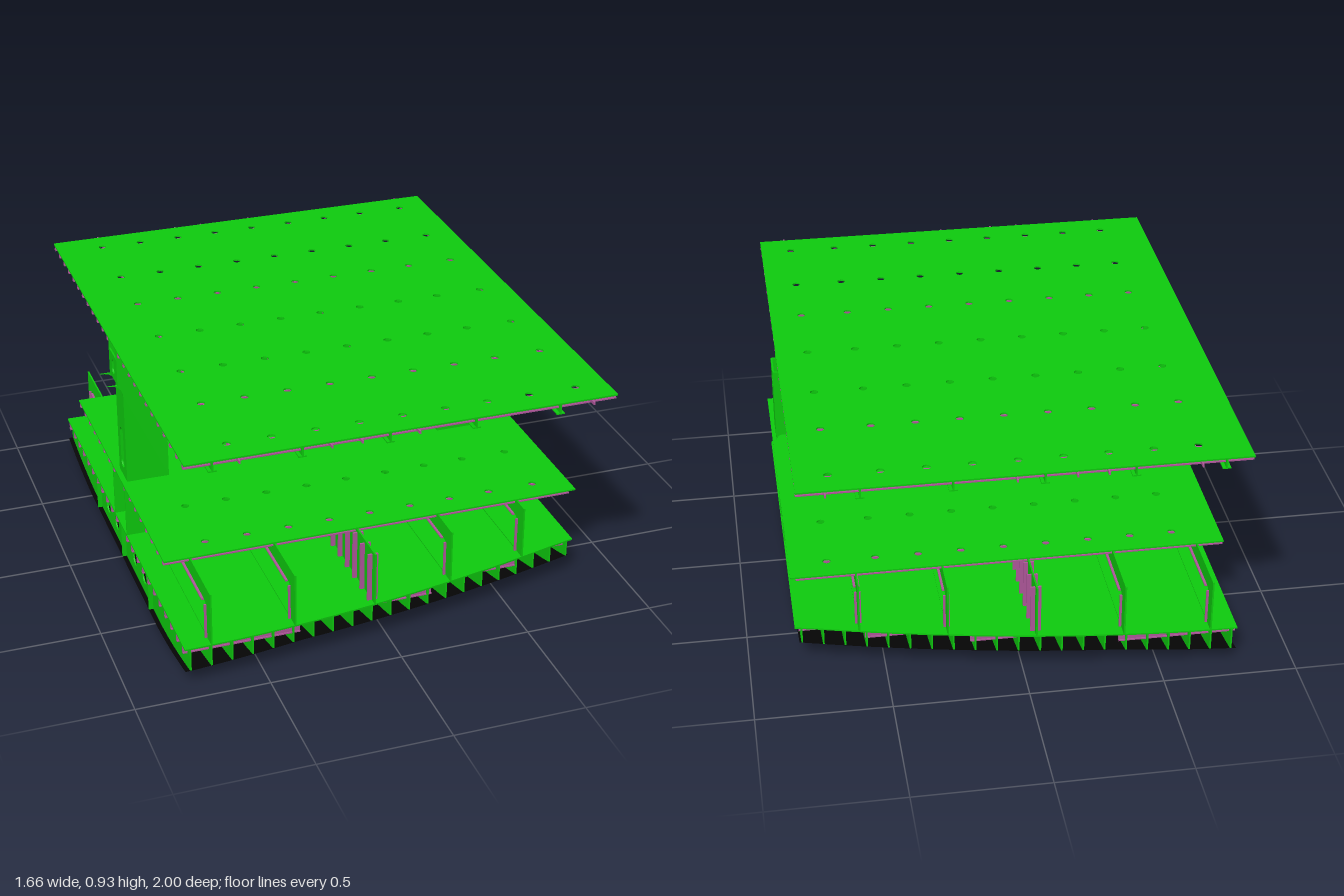
import * as THREE from 'three';

const mat = (color) => new THREE.MeshStandardMaterial({ color, side: THREE.DoubleSide });
const GREEN = mat(0x0ecc0e), PURPLE = mat(0xb0589c), BLACK = mat(0x060606), CYAN = mat(0x20c8e8);
const X0 = -0.79, X1 = 0.81, T = 0.006;
const FRAMES = [-0.69, -0.37, -0.05, 0.27, 0.59];
const BULKHEAD = -0.05;

// Hull rules: half breadth, and height of the shell at a given x and z
const tAt = (x) => THREE.MathUtils.clamp((x - X0) / (X1 - X0), 0, 1);
const halfBreadth = (x) => 0.915 - 0.245 * Math.pow(tAt(x), 1.8);
const shellEdge = (x) => 0.055 + 0.025 * Math.min(1, tAt(x) / 0.28);
function shellY(x, z) {
  const flat = 0.5 - 0.25 * tAt(x);
  const s = Math.max(0, (Math.abs(z) - flat) / (halfBreadth(x) - flat));
  return shellEdge(x) * Math.pow(s, 1.6);
}
const TANK = 0.15, DECK2 = 0.365, DECK1 = 0.932, DECK2_HALF = 0.66;

// Shape helpers
const poly = (pts) => new THREE.Shape(pts.map((p) => new THREE.Vector2(p[0], p[1])));
const rect = (a, b, c, d) => poly([[a, b], [c, b], [c, d], [a, d]]);
function circle(x, y, r) {
  const p = new THREE.Path();
  p.absarc(x, y, r, 0, Math.PI * 2, true);
  return p;
}
function rounded(a, b, c, d, r) {
  const p = new THREE.Path();
  p.absarc(c - r, b + r, r, -Math.PI / 2, 0, false);
  p.absarc(c - r, d - r, r, 0, Math.PI / 2, false);
  p.absarc(a + r, d - r, r, Math.PI / 2, Math.PI, false);
  p.absarc(a + r, b + r, r, Math.PI, Math.PI * 1.5, false);
  p.closePath();
  return p;
}
const extrude = (shape, depth) =>
  new THREE.ExtrudeGeometry(shape, { depth, bevelEnabled: false, curveSegments: 6 });

export function createModel() {
  const model = new THREE.Group();
  const add = (name, geo, material) => {
    const m = new THREE.Mesh(geo, material);
    m.name = name;
    model.add(m);
    return m;
  };
  const box = (name, material, x0, x1, y0, y1, z0, z1) => {
    const g = new THREE.BoxGeometry(x1 - x0, y1 - y0, z1 - z0);
    g.translate((x0 + x1) / 2, (y0 + y1) / 2, (z0 + z1) / 2);
    return add(name, g, material);
  };
  // Plates: horizontal (x, z), transverse (z, y) and lengthwise (x, y)
  const deckPlate = (name, shape, y) =>
    add(name, extrude(shape, T).rotateX(Math.PI / 2).translate(0, y, 0), GREEN);
  const crossPlate = (name, shape, x) =>
    add(name, extrude(shape, T).rotateY(-Math.PI / 2).translate(x + T / 2, 0, 0), GREEN);
  const longPlate = (name, shape, z) =>
    add(name, extrude(shape, T).translate(0, 0, z - T / 2), GREEN);

  // Outer shell
  const NX = 32, NZ = 48, pos = [], idx = [];
  for (let i = 0; i <= NX; i++) {
    const x = X0 + (X1 - X0) * i / NX;
    for (let j = 0; j <= NZ; j++) {
      const z = halfBreadth(x) * (2 * j / NZ - 1);
      pos.push(x, shellY(x, z), z);
      if (i < NX && j < NZ) {
        const a = i * (NZ + 1) + j, b = a + NZ + 1;
        idx.push(a, b, a + 1, b, b + 1, a + 1);
      }
    }
  }
  const shell = new THREE.BufferGeometry();
  shell.setAttribute('position', new THREE.Float32BufferAttribute(pos, 3));
  shell.setIndex(idx);
  shell.computeVertexNormals();
  add('bottomShell', shell, BLACK);

  // Tank top follows the hull outline
  const side = [];
  for (let i = 0; i <= 20; i++) {
    const x = X0 + (X1 + 0.015 - X0) * i / 20;
    side.push([x, halfBreadth(x)]);
  }
  deckPlate('tankTop', poly([...side, ...side.map(([x, z]) => [x, -z]).reverse()]), TANK);

  // Upper and lower decks with rows of holes
  const columns = [-0.61, -0.45, -0.29, -0.13, 0.03, 0.19, 0.35, 0.51, 0.69];
  const rows = [-0.88, -0.57, -0.305, 0.305, 0.57, 0.88];
  const upper = rect(X0, -0.98, X1, 0.98), lower = rect(X0, -DECK2_HALF, 0.83, DECK2_HALF);
  for (const x of columns) {
    for (const z of rows) {
      upper.holes.push(circle(x, z, 0.015));
      if (Math.abs(z) < 0.6) lower.holes.push(circle(x, z, 0.015));
    }
    upper.holes.push(circle(x, 0, 0.015));
  }
  deckPlate('upperDeck', upper, DECK1);
  deckPlate('lowerDeck', lower, DECK2);

  // Lengthwise stiffeners under the decks and tank top, and on the shell
  for (let k = 0; k < 12; k++) {
    for (const s of [-1, 1]) {
      const z = s * (0.08 + k * 0.08);
      const bar = (name, y0, y1, end) => {
        box(name, PURPLE, X0, end, y0, y1, z - 0.003, z + 0.003);
        box(name + 'Bulb', PURPLE, X0, end, y0, y0 + 0.005, z - 0.008, z + 0.008);
      };
      bar('upperDeckStiffener', 0.909, DECK1 - T, X1);
      if (Math.abs(z) < DECK2_HALF) bar('lowerDeckStiffener', 0.342, DECK2 - T, X1);
      let end = X1;
      while (end > X0 && halfBreadth(end) < Math.abs(z) + 0.01) end -= 0.02;
      if (end > X0 + 0.1) bar('tankTopStiffener', 0.115, TANK - T, end);
    }
  }

  // Floors between shell and tank top
  for (let k = 0; k <= 20; k++) {
    const x = X0 + 0.02 + k * 0.0785, w = halfBreadth(x), pts = [];
    for (let j = 0; j <= 24; j++) {
      const z = w * (2 * j / 24 - 1);
      pts.push([z, shellY(x, z) + 0.001]);
    }
    const s = poly([...pts, [w, TANK - T], [-w, TANK - T]]);
    for (const m of [-1, 1]) {
      for (const z of [0.14, 0.28]) s.holes.push(circle(m * z, 0.07, 0.03));
    }
    crossPlate('floor', s, x);
  }
  // Bottom girders
  for (const z of [-0.4, 0, 0.4]) {
    const top = [], n = 16;
    for (let i = 0; i <= n; i++) {
      const x = X0 + (X1 - X0) * i / n;
      top.push([x, shellY(x, z) + 0.001]);
    }
    longPlate('bottomGirder', poly([...top, [X1, TANK - T], [X0, TANK - T]]), z);
  }

  // Transverse web frames between tank top and lower deck
  for (const x of FRAMES) {
    const f = halfBreadth(x), s = rect(-f, TANK, f, DECK2 - T);
    s.holes.push(rounded(-0.055, 0.24, 0.055, 0.32, 0.03), circle(0, 0.185, 0.03));
    for (const m of [-1, 1]) {
      const hole = (a, b, y0, y1, r) =>
        s.holes.push(rounded(Math.min(m * a, m * b), y0, Math.max(m * a, m * b), y1, r));
      hole(0.12, 0.28, TANK + 0.004, 0.325, 0.035);
      const inner = f - 0.05;
      if (x === BULKHEAD) {
        for (let z = 0.34; z < f; z += 0.08) {
          box('bulkheadStiffener', PURPLE, x - 0.02, x + 0.02, TANK, 0.345, m * z - 0.004, m * z + 0.004);
        }
      } else {
        hole(0.32, inner, TANK + 0.004, 0.295, 0.03);
        box('postFlange', PURPLE, x - 0.012, x + 0.012, TANK, 0.29, m * inner - 0.003, m * inner + 0.003);
        const a = m * 0.35, b = m * (inner - 0.03);
        box('beamFlange', PURPLE, x - 0.012, x + 0.012, 0.29, 0.296, Math.min(a, b), Math.max(a, b));
      }
    }
    crossPlate(x === BULKHEAD ? 'bulkhead' : 'webFrame', s, x);
  }
  // Lengthwise walls under the trunk
  for (const z of [-0.09, 0.09]) {
    const s = rect(X0, TANK, 0.825, DECK2 - T);
    s.holes.push(circle(0.03, 0.205, 0.027));
    longPlate('centreWall', s, z);
  }

  // Transverse beams under the upper deck
  for (const x of FRAMES) {
    const s = rect(-0.98, 0.892, 0.98, DECK1 - T);
    for (const z of [0.32, 0.48, 0.64]) {
      for (const m of [-1, 1]) s.holes.push(rounded(m * z - 0.018, 0.903, m * z + 0.018, 0.919, 0.007));
    }
    crossPlate('upperDeckBeam', s, x);
    box('upperBeamFlange', GREEN, x - 0.015, x + 0.015, 0.888, 0.893, -0.98, 0.98);
    for (const z of [-0.06, 0.06]) {
      const b = extrude(poly([[0, 0], [0.025, 0.03], [0, 0.03]]), 0.006);
      add('bracket', b.translate(x, 0.896, z - 0.003), CYAN);
      add('lowerBracket', b.clone().translate(0, -0.58, z * 9), CYAN);
    }
  }

  // Trunk: box girder on two box columns
  const trunk = new THREE.Shape();
  trunk.moveTo(-0.77, DECK2);
  trunk.lineTo(-0.605, DECK2);
  trunk.lineTo(-0.605, 0.73);
  trunk.quadraticCurveTo(-0.605, 0.782, -0.55, 0.782);
  trunk.lineTo(0.45, 0.782);
  trunk.quadraticCurveTo(0.505, 0.782, 0.505, 0.73);
  trunk.lineTo(0.505, DECK2);
  trunk.lineTo(0.67, DECK2);
  trunk.lineTo(0.67, 0.585);
  trunk.quadraticCurveTo(0.67, 0.615, 0.7, 0.615);
  trunk.lineTo(0.8, 0.615);
  trunk.quadraticCurveTo(0.825, 0.615, 0.828, 0.59);
  trunk.lineTo(0.828, 0.888);
  trunk.lineTo(X1, 0.888);
  trunk.lineTo(X1, DECK1 - T);
  trunk.lineTo(X0, DECK1 - T);
  trunk.lineTo(X0, 0.782);
  trunk.lineTo(-0.83, 0.782);
  trunk.quadraticCurveTo(-0.77, 0.782, -0.77, 0.73);
  trunk.closePath();
  for (const x of [-0.53, -0.21, 0.11, 0.43]) trunk.holes.push(rounded(x - 0.05, 0.827, x + 0.05, 0.878, 0.024));
  for (const z of [-0.055, 0.055]) longPlate('trunkSide', trunk, z);
  for (const x of [-0.767, -0.608, 0.508, 0.667]) {
    const s = rect(-0.055, DECK2, 0.055, 0.785);
    s.holes.push(rounded(-0.023, 0.4, 0.023, 0.57, 0.022));
    crossPlate('columnEnd', s, x);
  }
  for (const [x, y] of [[X0 + 0.003, 0.782], [0.825, 0.6]]) {
    const s = rect(-0.055, y, 0.055, 0.888);
    s.holes.push(rounded(-0.018, 0.805, 0.018, 0.862, 0.017));
    crossPlate('trunkEnd', s, x);
  }
  box('trunkBottom', GREEN, -0.58, 0.48, 0.78, 0.786, -0.055, 0.055);
  box('trunkStep', GREEN, 0.69, 0.82, 0.613, 0.618, -0.055, 0.055);

  // Small overhanging stiffener ends at the deck edges
  for (const x of [-0.6, -0.27, -0.16, 0.05, 0.71]) {
    box('crossStiffener', PURPLE, x - 0.003, x + 0.003, 0.915, DECK1 - T, -1, 1);
  }
  return model;
}
